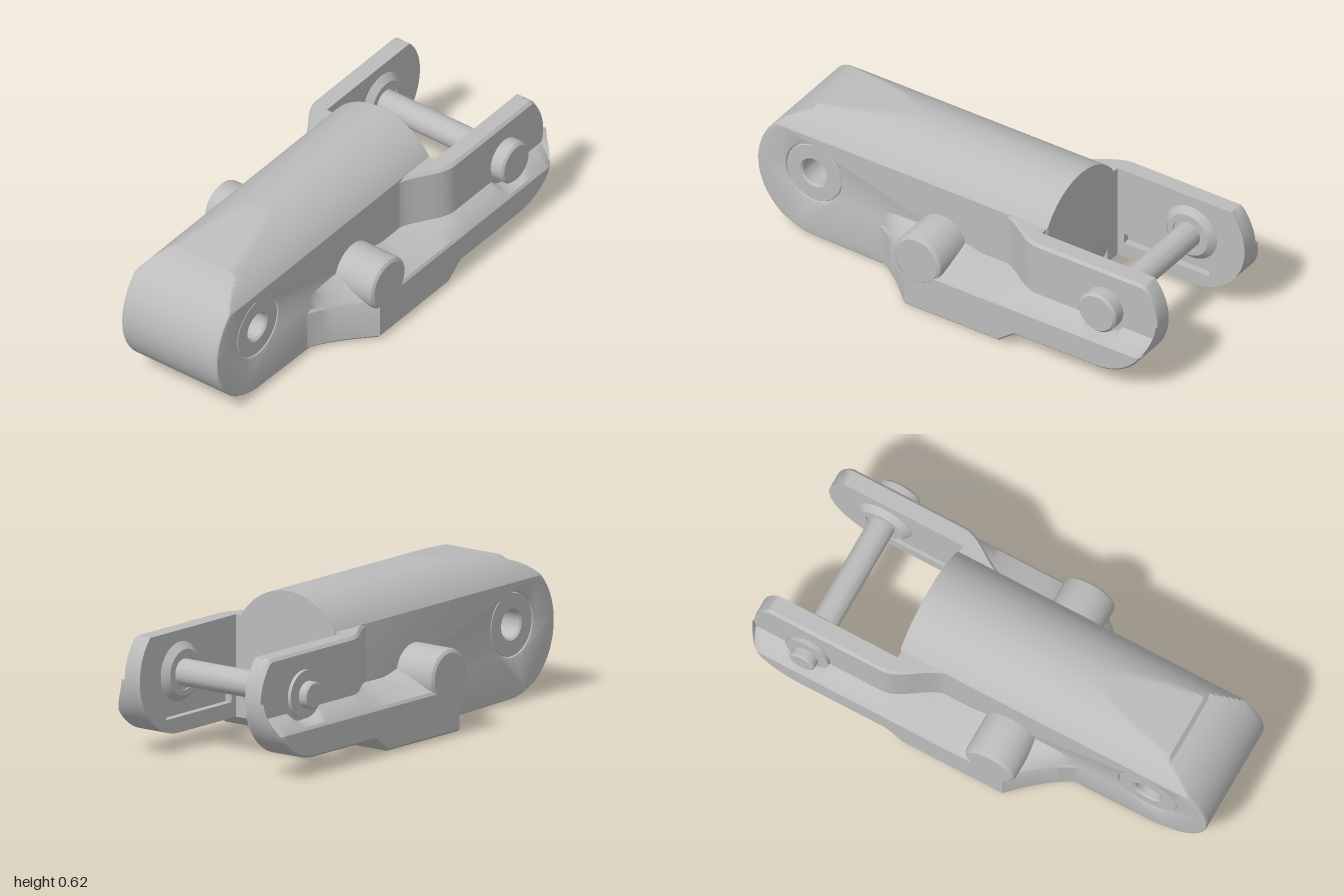
import * as THREE from 'three';
import { toCreasedNormals } from 'three/addons/utils/BufferGeometryUtils.js';

const { clamp, smoothstep, lerp } = THREE.MathUtils;
const PIN = { x: 0.745, y: 0.32 };
const BORE = { x: -0.73, y: 0.32 };

// Skin a list of equal-length rings running along +x and close both ends.
function loft(rings) {
  const n = rings[0].length, index = [];
  const last = (rings.length - 1) * n;
  for (let r = 0; r < rings.length - 1; r++) {
    for (let i = 0; i < n; i++) {
      const a = r * n + i, b = r * n + (i + 1) % n;
      index.push(a, b, b + n, a, b + n, a + n);
    }
  }
  for (let i = 1; i < n - 1; i++) {
    index.push(0, i + 1, i, last, last + i, last + i + 1);
  }
  const g = new THREE.BufferGeometry();
  g.setAttribute('position', new THREE.Float32BufferAttribute(rings.flat(2), 3));
  g.setIndex(index);
  return toCreasedNormals(g, 0.5);
}

// Turned part along z; profile is [radius, z] with z increasing.
function turned(profile, at) {
  const g = new THREE.LatheGeometry(profile.map(p => new THREE.Vector2(p[0], p[1])), 40);
  g.rotateX(Math.PI / 2);
  g.translate(at.x, at.y, 0);
  return toCreasedNormals(g, 0.5);
}

// Main block: side outline extruded across z, then crowned by a cylindrical top.
function bodyGeometry() {
  const s = new THREE.Shape();
  s.moveTo(-0.717, 0.01);
  s.lineTo(-0.3, 0);
  s.lineTo(0.27, 0);
  s.lineTo(0.35, 0.065);
  s.quadraticCurveTo(0.395, 0.11, 0.395, 0.21);
  s.lineTo(0.395, 0.625);
  for (let i = 0; i <= 16; i++) s.lineTo(lerp(-0.4, -0.78, i / 16), lerp(0.625, 0.585, i / 16));
  s.absarc(-0.717, 0.293, 0.283, 1.85, Math.PI * 1.5, false);
  const hole = new THREE.Path();
  hole.absarc(BORE.x, BORE.y, 0.132, 0, Math.PI * 2, true);
  s.holes.push(hole);
  const bevel = 0.008, depth = 0.48 - 2 * bevel;
  const g = new THREE.ExtrudeGeometry(s, {
    depth, steps: 40, curveSegments: 36, bevelEnabled: true,
    bevelThickness: bevel, bevelSize: bevel, bevelOffset: -bevel, bevelSegments: 2,
  });
  g.translate(0, 0, -depth / 2);
  const p = g.attributes.position;
  for (let i = 0; i < p.count; i++) {
    const z = p.getZ(i);
    let y = Math.min(p.getY(i), 0.344 + Math.sqrt(0.281 ** 2 - z * z));
    if (y < 0.05) y += 0.012 * (z / 0.42) ** 2;
    p.setY(i, y);
  }
  return toCreasedNormals(g, 0.5);
}

// Side arm: raised fork plate above a wider lower flange.
function armGeometry(side) {
  const xs = [];
  for (let x = -0.44; x < 0.385; x += 0.015) xs.push(x);
  xs.push(0.389, 0.39);
  for (let x = 0.405; x < 0.75; x += 0.015) xs.push(x);
  for (let i = 0; i <= 24; i++) xs.push(0.75 + 0.25 * Math.sin(i / 24 * Math.PI / 2));

  return loft(xs.map(x => {
    const round = Math.sqrt(Math.max(0, 0.0625 - Math.max(0, x - 0.75) ** 2));
    const bottom = x > 0.75 ? 0.32 - round : lerp(0.01, 0.07, clamp((x - 0.28) / 0.08, 0, 1));
    const top = Math.min(0.49, 0.32 + round);
    const inner = x < 0.3895 ? 0.2 : 0.3;
    const plate = lerp(0.236, 0.349, smoothstep(x, 0.17, 0.42));
    const grow = clamp((x + 0.43) / 0.26, 0, 1) ** 1.4;
    const flange = Math.max(plate, 0.234 + 0.19 * grow - 0.06 * clamp((x - 0.93) / 0.07, 0, 1) ** 2);
    // The shelf dips around the pin head.
    const dx = Math.abs(x - PIN.x);
    const dip = dx < 0.11 ? PIN.y - Math.sqrt(0.0121 - dx * dx) : 1;
    const shelf = Math.min(lerp(0.28, 0.252, smoothstep(x, -0.05, 0.1)), dip);
    const edge = Math.min(shelf, 0.195);
    const y = v => clamp(v, bottom, top);
    const ring = [
      [inner, bottom], [flange - 0.01, bottom], [flange, y(bottom + 0.01)],
      [flange, y(edge - 0.008)], [flange - 0.008, y(edge + 0.004)],
      [lerp(flange, plate, 0.55), y(lerp(edge, shelf, 0.65))],
      [plate, y(shelf)], [plate, y(top - 0.012)], [plate - 0.012, top], [inner, top],
    ].map(([z, yy]) => [x, yy, z * side]);
    return side > 0 ? ring.reverse() : ring;
  }));
}

// Inner cheek of the fork, pierced by a shallow slot.
function cheekGeometry() {
  const s = new THREE.Shape();
  const a = Math.asin(0.17 / 0.25);
  s.moveTo(0.36, 0.07);
  s.lineTo(0.75, 0.07);
  s.absarc(0.75, 0.32, 0.25, -Math.PI / 2, a, false);
  s.lineTo(0.36, 0.49);
  const slot = new THREE.Path();
  slot.moveTo(0.42, 0.135);
  slot.lineTo(0.42, 0.18);
  slot.lineTo(0.83, 0.18);
  slot.lineTo(0.83, 0.135);
  s.holes.push(slot);
  return toCreasedNormals(
    new THREE.ExtrudeGeometry(s, { depth: 0.032, bevelEnabled: false, curveSegments: 32 }), 0.5);
}

export function createModel() {
  const metal = new THREE.MeshStandardMaterial({ color: 0xbcbcbc });
  metal.name = 'grey metal';
  const model = new THREE.Group();
  model.name = 'clevisLink';
  const add = (name, geometry) => {
    const m = new THREE.Mesh(geometry, metal);
    m.name = name;
    model.add(m);
    return m;
  };

  add('body', bodyGeometry());

  // Bushing with a through bore
  add('bushing', turned([
    [0.066, -0.237], [0.128, -0.237], [0.131, -0.234], [0.131, 0.234], [0.128, 0.237],
    [0.066, 0.237], [0.058, 0.229], [0.058, -0.229], [0.066, -0.237],
  ], BORE));

  for (const side of [1, -1]) {
    const label = side > 0 ? 'front' : 'rear';
    add(label + 'Arm', armGeometry(side));
    add(label + 'Cheek', cheekGeometry()).position.z = side > 0 ? 0.27 : -0.302;

    // Round side knob with softened rim
    const knob = add(label + 'Knob', turned([
      [0, 0.2], [0.114, 0.2], [0.114, 0.405], [0.11, 0.417], [0.098, 0.425], [0, 0.425],
    ], { x: 0, y: 0 }));
    knob.position.set(-0.11, 0.245, 0);
    if (side < 0) knob.rotation.y = Math.PI;

    // Conical boss on the inside of the fork
    const boss = add(label + 'Boss', turned([
      [0, 0.25], [0.072, 0.25], [0.072, 0.243], [0.095, 0.243], [0.122, 0.268], [0.122, 0.28], [0, 0.28],
    ], { x: 0, y: 0 }));
    boss.position.set(PIN.x, PIN.y, 0);
    if (side < 0) boss.rotation.y = Math.PI;
  }

  // Cross pin with head, collar and grooved tail
  add('pin', turned([
    [0, -0.422], [0.05, -0.422], [0.056, -0.416], [0.056, -0.385], [0.045, -0.385], [0.045, -0.378],
    [0.055, -0.378], [0.055, 0.345], [0.09, 0.345], [0.09, 0.4], [0.08, 0.41], [0, 0.41],
  ], PIN));
  add('collar', turned([[0, -0.36], [0.075, -0.36], [0.075, -0.34], [0, -0.34]], PIN));
  add('retainingClip', turned([[0, -0.378], [0.098, -0.378], [0.098, -0.362], [0, -0.362]], PIN));

  return model;
}
